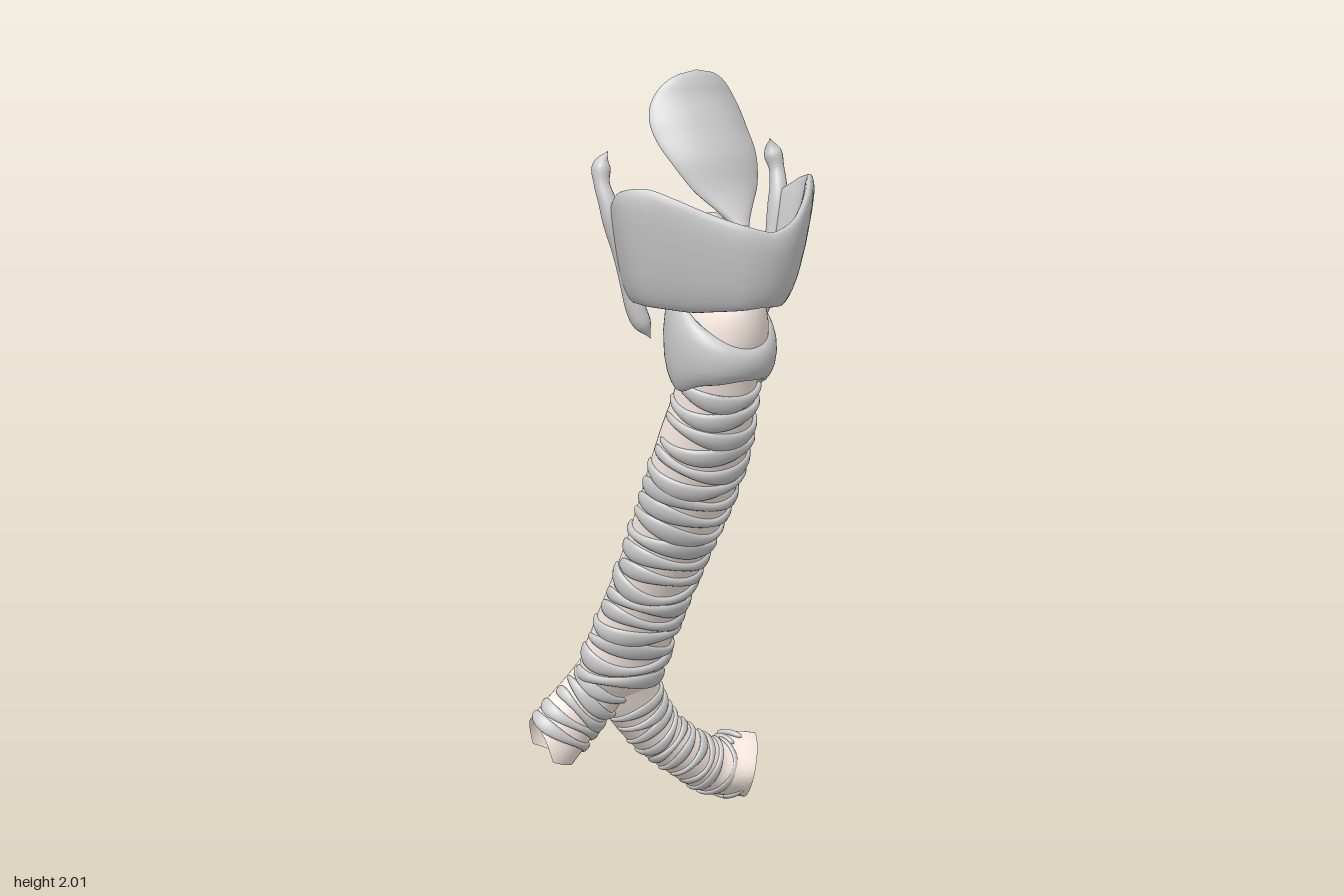
import * as THREE from 'three';

const { sin, cos, PI, abs, sqrt, sign, max, min } = Math;
const V = (x, y, z) => new THREE.Vector3(x, y, z);
const cartilage = new THREE.MeshStandardMaterial({ color: 0xcccccc, side: THREE.DoubleSide });
const membrane = new THREE.MeshStandardMaterial({ color: 0xfff0e8, side: THREE.DoubleSide });
const MID = -0.11; // x of the midline at the larynx

// Small seeded random numbers
let seed = 11;
const rand = () => (seed = (seed * 16807) % 2147483647) / 2147483647;

// Spline through evenly spaced values, t in 0..1
function ramp(list, t) {
  const f = min(t, 0.99999) * (list.length - 1), i = Math.floor(f), k = f - i;
  const [b, c] = [list[i], list[i + 1]], a = list[i - 1] ?? b, d = list[i + 2] ?? c;
  return max(0, b + 0.5 * k * (c - a + k * (2 * a - 5 * b + 4 * c - d + k * (3 * (b - c) + d - a))));
}

// Grid surface: fn(u, b), u in 0..1, b a closed loop of angles; closeU joins the ends
function surface(nu, nb, fn, closeU = false) {
  const pos = [], idx = [], rows = closeU ? nu : nu + 1;
  for (let i = 0; i < rows; i++)
    for (let j = 0; j < nb; j++) pos.push(...fn(i / nu, (j / nb) * 2 * PI).toArray());
  for (let i = 0; i < nu; i++)
    for (let j = 0; j < nb; j++) {
      const a = i * nb + j, b = i * nb + ((j + 1) % nb);
      const r = ((i + 1) % rows) * nb, c = r + j, d = r + ((j + 1) % nb);
      idx.push(a, c, b, b, c, d);
    }
  const g = new THREE.BufferGeometry();
  g.setAttribute('position', new THREE.Float32BufferAttribute(pos, 3));
  g.setIndex(idx);
  g.computeVertexNormals();
  return g;
}

function add(parent, name, geo, mat) {
  const m = new THREE.Mesh(geo, mat);
  m.name = name;
  parent.add(m);
}

// Airway: flattened-back tube along a curve; returns point(t, angle), angle 0 at its front
function airway(points, rx, rz) {
  const curve = new THREE.CatmullRomCurve3(points.map(p => V(...p)));
  return (t, a, lift = 0, along = 0) => {
    const T = curve.getTangentAt(t);
    const F = V(0, 0, 1).addScaledVector(T, -T.z).normalize();
    const S = F.clone().cross(T), c = cos(a);
    return curve.getPointAt(t).addScaledVector(F, (ramp(rz, t) + lift) * (c < 0 ? c * 0.9 : c))
      .addScaledVector(S, (ramp(rx, t) + lift) * sin(a)).addScaledVector(T, along);
  };
}

// C-shaped cartilage ring wrapped round the front of an airway
function ring(tube, t, halfWidth, reach) {
  const p1 = rand() * 6, p2 = rand() * 6, shift = (rand() - 0.5) * 0.35;
  return surface(40, 10, (u, b) => {
    const s = u * 2 - 1, taper = sqrt(max(0, 1 - s ** 6));
    const a = s * reach + shift;
    const w = halfWidth * (1 + 0.35 * sin(2.3 * a + p1)) * taper;
    const wave = halfWidth * 0.55 * sin(1.7 * a + p2);
    return tube(t, a, 0.002 + halfWidth * 0.5 * cos(b) * taper, wave + w * sin(b));
  });
}

// Round tapering rod through points
function rod(points, radii, n = 24) {
  const curve = new THREE.CatmullRomCurve3(points.map(p => V(...p)));
  return surface(n, 14, (u, b) => {
    const T = curve.getTangentAt(u), X = V(1, 0, 0).addScaledVector(T, -T.x).normalize();
    const Z = X.clone().cross(T), r = ramp(radii, u);
    return curve.getPointAt(u).addScaledVector(X, r * cos(b)).addScaledVector(Z, r * sin(b));
  });
}

const soft = (x, e) => sign(x) * abs(x) ** e; // squares off a round section

export function createModel() {
  const model = new THREE.Group();
  model.name = 'airway';

  // Windpipe and its two branches
  const windpipe = airway(
    [[-0.11, 1.36, 0.215], [-0.1, 1.2, 0.157], [-0.098, 1, 0.064], [-0.108, 0.8, -0.041],
      [-0.12, 0.6, -0.15], [-0.135, 0.45, -0.215], [-0.14, 0.32, -0.262]],
    [0.1, 0.1, 0.115, 0.12, 0.113, 0.107, 0.108, 0.112, 0.108, 0], [0.09, 0.094, 0.1, 0.098, 0.094, 0.09, 0.086, 0.082, 0.074, 0]);
  const rightBranch = airway(
    [[-0.13, 0.52, -0.2], [-0.18, 0.42, -0.238], [-0.24, 0.34, -0.27], [-0.285, 0.285, -0.282]],
    [0.07, 0.08, 0.08, 0.084], [0.065, 0.07, 0.066, 0.064]);
  const leftBranch = airway(
    [[-0.14, 0.5, -0.205], [-0.08, 0.37, -0.25], [0, 0.26, -0.264], [0.1, 0.175, -0.276],
      [0.2, 0.115, -0.3], [0.29, 0.09, -0.335]],
    [0.07, 0.082, 0.072, 0.067, 0.072, 0.086], [0.07, 0.072, 0.066, 0.064, 0.071, 0.114]);
  // tube, name, end cut by angle, ring span, ring count, ring half width, ring reach
  const parts = [
    [windpipe, 'windpipe', () => 0, 0.095, 0.87, 19, 0.0185, 1.85],
    [rightBranch, 'rightBronchus', a => 0.055 * (1 - abs(sin(a))) + 0.03 * max(0, sin(a)), 0.4, 0.95, 5, 0.014, 1.7],
    [leftBranch, 'leftBronchus', a => 0.085 * (1 - abs(cos(a))) - 0.055 * max(0, cos(a)), 0.26, 0.84, 10, 0.0115, 1.45],
  ];
  for (const [tube, name, cut, t0, t1, count, w, reach] of parts) {
    const group = new THREE.Group();
    group.name = name;
    add(group, name + 'Wall', surface(60, 40, (u, a) =>
      tube(u, a, 0, cut(a) * max(0, (u - 0.8) / 0.2))), membrane);
    for (let i = 0; i < count; i++)
      add(group, name + 'Ring', ring(tube, t0 + ((t1 - t0) * i) / (count - 1), w, reach + rand() * 0.3), cartilage);
    model.add(group);
  }
  // Short cartilage bars at the flared left end: [position, middle angle]
  for (const [t, mid] of [[0.88, 1.5], [0.97, 1.7], [0.86, 2.5], [0.92, -0.9], [0.97, -1.7]])
    add(model, 'leftBronchusBar', surface(16, 10, (u, b) => {
      const s = u * 2 - 1, k = sqrt(max(0, 1 - s ** 4));
      return leftBranch(t, mid + s * 0.4, 0.008 * cos(b) * k, 0.01 * sin(b) * k);
    }), cartilage);

  // Ring cartilage: low arch in front, tall plate behind, scalloped lower rim
  add(model, 'ringCartilage', surface(72, 20, (u, b) => {
    const a = u * 2 * PI, k = (1 - cos(a)) / 2;
    const top = 1.365 + 0.165 * k ** 0.85;
    const low = 1.28 - 0.02 * sin(a) ** 2 - 0.02 * cos(4 * a + 0.6) * sin(a / 2) ** 2;
    const h = soft(sin(b), 0.7), y = (top + low) / 2 + ((top - low) / 2) * h;
    const r = 0.117 + 0.017 * soft(cos(b), 0.8) - 0.014 * h * h + 0.006 * h * (1 - 2 * k);
    return V(MID - 0.004 + r * sin(a), y, 0.212 + r * cos(a) * (k > 0.5 ? 1.04 : 1));
  }, true), cartilage);

  // Elastic cone narrowing to the vocal slit
  add(model, 'elasticCone', surface(24, 40, (u, a) => {
    const rx = ramp([0.1, 0.098, 0.085, 0.05, 0.012], u), rz = ramp([0.1, 0.115, 0.12, 0.115, 0.11], u);
    return V(MID + rx * sin(a), 1.31 + 0.25 * u, 0.215 + 0.03 * u + rz * cos(a));
  }), membrane);

  // Shield cartilage: bent plate open at the back, narrowing downwards
  const plan = new THREE.CatmullRomCurve3([-1, 1].flatMap(s => {
    const half = [[0.055, 0.412], [0.14, 0.348], [0.215, 0.262], [0.257, 0.195], [0.24, 0.1]];
    return (s < 0 ? [...half].reverse() : half).map(([x, z]) => V(s * x, 0, z));
  }));
  add(model, 'shieldCartilage', surface(80, 28, (u, b) => {
    const s = abs(u * 2 - 1);
    const p = plan.getPointAt(u), t = plan.getTangentAt(u);
    const top = ramp([1.645, 1.665, 1.69, 1.72, 1.742, 1.73, 1.69], s);
    const low = ramp([1.465, 1.46, 1.455, 1.45, 1.455, 1.46, 1.46], s);
    const h = soft(sin(b), 0.6), y = low + (top - low) * (0.5 + 0.5 * h);
    const k = min(1, max(0, (y - 1.45) / 0.26)), narrow = 1 - k ** 0.7;
    const thick = 0.015 * soft(cos(b), 0.8) * sqrt(max(0, 1 - s ** 20));
    const x = p.x * (1 - (0.34 - 0.12 * s * s) * narrow);
    const z = 0.12 + (p.z - 0.12) * (0.86 + 0.14 * k) + 0.015 * (1 - s) * sin(PI * k);
    return V(MID + x - t.z * thick, y, z + t.x * thick);
  }), cartilage);

  for (const s of [-1, 1]) {
    const side = s > 0 ? 'left' : 'right', x = d => MID + s * d;
    // Back border of the shield, running out into a lower and an upper horn
    add(model, side + 'Horns', rod([[x(0.15), 1.37, 0.135], [x(0.178), 1.43, 0.122], [x(0.203), 1.52, 0.114],
      [x(0.225), 1.61, 0.108], [x(0.242), 1.69, 0.098], [x(0.249), 1.74, 0.08], [x(0.242), 1.785, 0.07],
      [x(0.23), 1.814, 0.078]], [0, 0.021, 0.024, 0.022, 0.02, 0.019, 0.02, 0.023, 0.024, 0.021, 0.019, 0.022, 0], 48), cartilage);
    // Pivot cartilage with a hooked tip on the back plate
    add(model, side + 'PivotCartilage', rod([[x(0.065), 1.48, 0.125], [x(0.062), 1.54, 0.14], [x(0.054), 1.59, 0.135],
      [x(0.045), 1.63, 0.112], [x(0.02), 1.65, 0.098]], [0.03, 0.046, 0.047, 0.041, 0.033, 0.027, 0.024, 0.02, 0]), cartilage);
    add(model, side + 'VocalLigament', rod([[x(0.045), 1.555, 0.15], [x(0.025), 1.56, 0.27], [x(0.006), 1.56, 0.37]],
      [0.012, 0.01, 0.008], 10), membrane);
  }

  // Leaf-shaped lid, hollow towards the back, with a ligament at its stalk
  const spine = new THREE.CatmullRomCurve3([V(-0.11, 1.64, 0.295), V(-0.113, 1.72, 0.25), V(-0.122, 1.8, 0.225),
    V(-0.132, 1.87, 0.19), V(-0.135, 1.945, 0.152), V(-0.135, 1.997, 0.142)]);
  add(model, 'lid', surface(44, 36, (u, b) => {
    const round = u > 0.6 ? sqrt(max(0, 1 - ((u - 0.6) / 0.4) ** 2.6)) : 1;
    const w = ramp([0.02, 0.05, 0.088, 0.112, 0.127, 0.132, 0.132, 0.13, 0.13], u) * round;
    const s = sin(b), p = spine.getPointAt(u), t = spine.getTangentAt(u);
    const d = 0.015 * cos(b) * (u > 0.9 ? sqrt(max(0, (1 - u) / 0.1)) : 1);
    const hollow = -0.075 * s * s * sin(PI * u) * u;
    return V(p.x + w * s, p.y - t.z * (d + hollow * 0.25), p.z + t.y * d + hollow);
  }), cartilage);
  add(model, 'lidLigament', rod([[-0.11, 1.64, 0.28], [-0.108, 1.6, 0.32], [-0.105, 1.55, 0.36]],
    [0.012, 0.025, 0.025, 0.018, 0]), membrane);

  return model;
}
